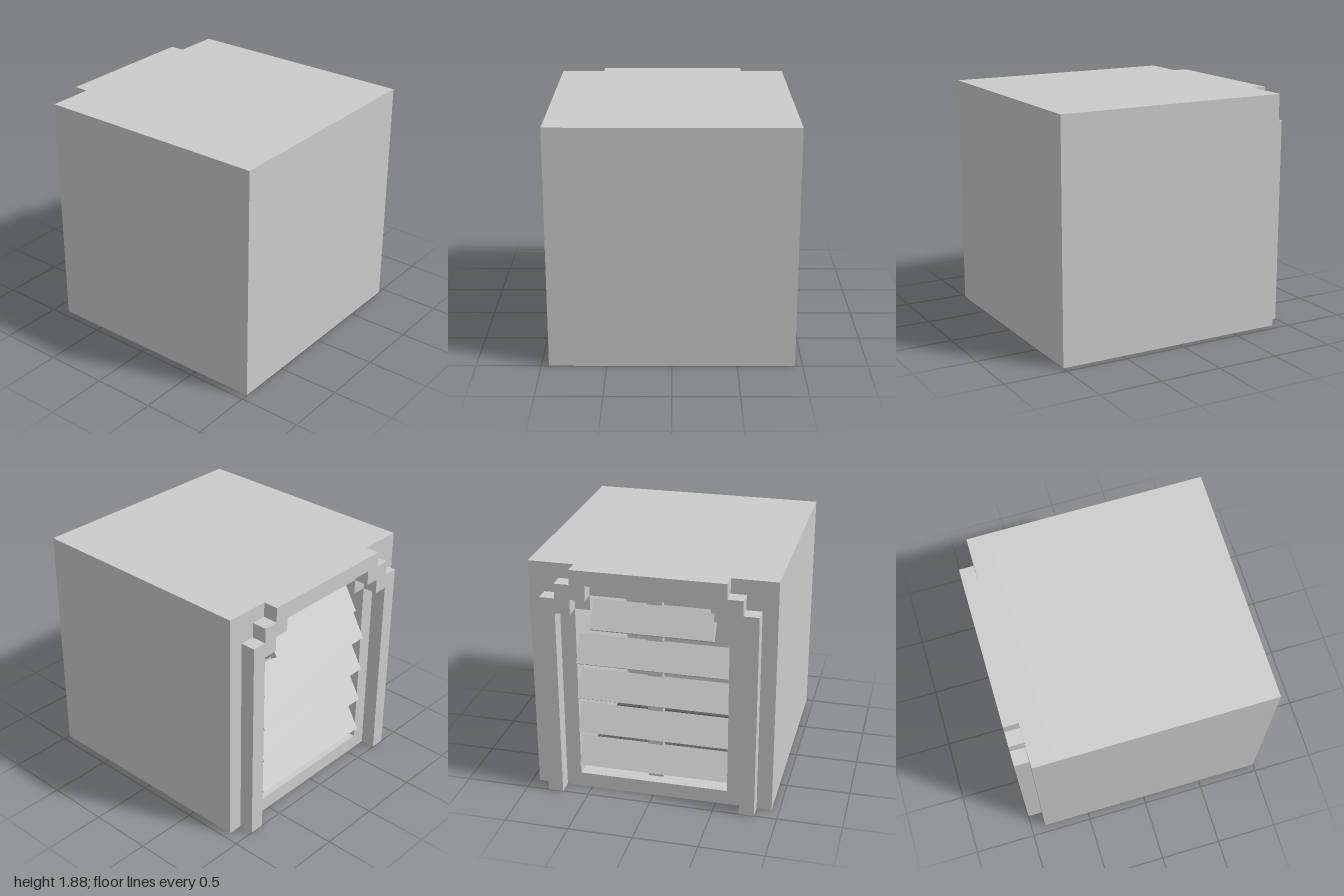
import * as THREE from 'three';

const U = 2 / 17; // all sizes below are in 1/17ths of the full depth

export function createModel() {
  const model = new THREE.Group();
  model.name = 'louvredBlock';
  const parts = new THREE.Group(); // front face at z = 0, back wall at z = -16
  parts.name = 'parts';
  parts.scale.setScalar(U);
  parts.position.z = 1;
  model.add(parts);

  const material = new THREE.MeshStandardMaterial({ color: 0xcccccc, flatShading: true });

  const add = (name, geometry, x = 0, y = 0, z = 0) => {
    const mesh = new THREE.Mesh(geometry, material);
    mesh.name = name;
    mesh.position.set(x, y, z);
    parts.add(mesh);
    return mesh;
  };
  const extrude = (shape, depth) =>
    new THREE.ExtrudeGeometry(shape, { depth, bevelEnabled: false });
  // Completes an outline from the points of its +x half
  const mirrored = (half) =>
    [...half, ...half.map(([x, y]) => [-x, y]).reverse()].map(([x, y]) => new THREE.Vector2(x, y));

  // Side and front walls: a U-shaped plan, open at the bottom and the back
  const plan = new THREE.Shape(mirrored([[6, 1], [6, 14.5], [8, 14.5], [8, 0]]));
  const walls = extrude(plan, 15);
  walls.rotateX(-Math.PI / 2);
  add('walls', walls);
  add('roof', new THREE.BoxGeometry(16, 1, 14.5), 0, 15.5, -7.25);

  // Back wall with a stepped opening
  const outerOpening = mirrored([[5.5, 0.5], [5.5, 13.5], [4.5, 13.5], [4.5, 14.5]]);
  const innerOpening = mirrored([[5, 1], [5, 13], [4, 13], [4, 14]]);
  const back = new THREE.Shape(mirrored([[8, 0], [8, 16]]));
  back.holes.push(new THREE.Path(outerOpening));
  add('backWall', extrude(back, 1.5), 0, 0, -16);

  // Trim ring lining the opening
  const ring = new THREE.Shape(outerOpening);
  ring.holes.push(new THREE.Path(innerOpening));
  add('openingTrim', extrude(ring, 1.5), 0, 0, -16);

  // Raised stepped arch around the opening, open at its foot
  const archOuter = mirrored([[7, 0], [7, 14], [6, 14], [6, 15], [5, 15], [5, 16]]);
  const archInner = mirrored([[6, 0], [6, 13], [5, 13], [5, 14], [4, 14], [4, 15]]);
  const arch = new THREE.Shape([...archOuter, ...archInner.reverse()]);
  add('backArch', extrude(arch, 1), 0, 0, -17);

  // Tilted slats, the top one shorter to fit the stepped corners
  for (let i = 0; i < 5; i++) {
    const width = i === 4 ? 8 : 10;
    const slat = add('slat', new THREE.BoxGeometry(width, 2, 0.5), 0, 2.5 + 2.5 * i, -15.5);
    slat.rotation.x = Math.PI / 6;
  }

  // Upright rod joining the slats
  add('slatRod', new THREE.BoxGeometry(1, 13, 0.5), 0, 7.5, -15);

  return model;
}
